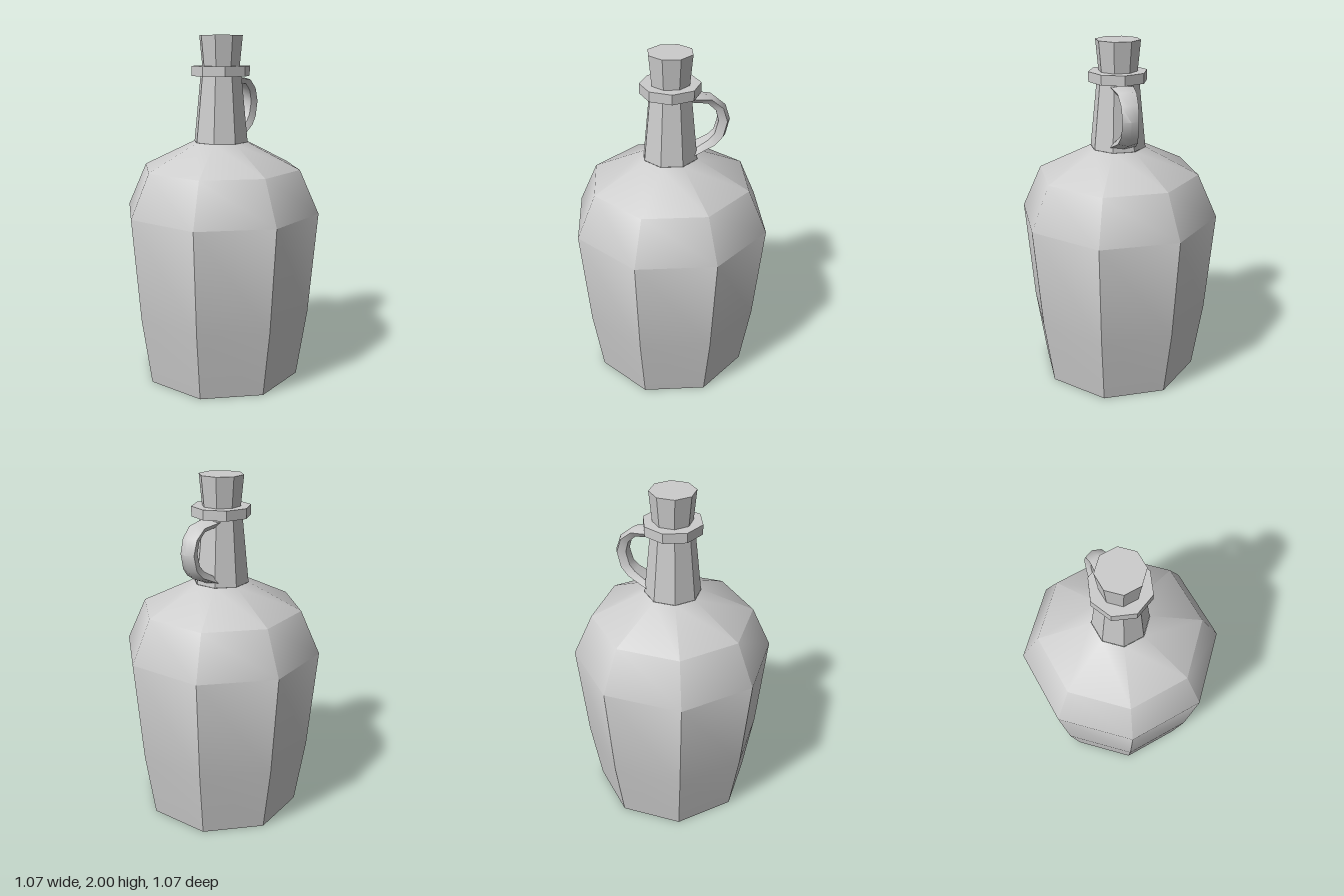
import * as THREE from 'three';
import { toCreasedNormals } from 'three/addons/utils/BufferGeometryUtils.js';

const CREASE = 0.742;
const FLAT = 1 / Math.cos(Math.PI / 8); // apothem to corner radius of an octagon

export function createModel() {
  const group = new THREE.Group();
  const grey = new THREE.MeshStandardMaterial({ color: 0xcccccc, side: THREE.DoubleSide });
  grey.name = 'plain grey';

  const add = (name, geometry, crease = CREASE) => {
    const mesh = new THREE.Mesh(toCreasedNormals(geometry, crease), grey);
    mesh.name = name;
    group.add(mesh);
  };

  // Eight-sided tapered shell; flat sides face the axes
  const octagon = (top, bottom, y0, y1, open) =>
    new THREE.CylinderGeometry(top * FLAT, bottom * FLAT, y1 - y0, 8, 1, open, Math.PI / 8)
      .translate(0, (y0 + y1) / 2, 0);

  // Body, open underneath
  const profile = [[0.435, 0], [0.49, 0.4], [0.535, 1], [0.43, 1.25], [0.148, 1.4]]
    .map(([a, y]) => new THREE.Vector2(a * FLAT, y));
  add('body', new THREE.LatheGeometry(profile, 8, Math.PI / 8));

  // Neck, lip and stopper
  add('neck', octagon(0.11, 0.147, 1.4, 1.79, true));
  add('lip', new THREE.CylinderGeometry(0.167, 0.167, 0.056, 8).translate(0, 1.802, 0));
  add('stopper', octagon(0.117, 0.1, 1.81, 2, false));

  // Handle: outer x, y, inner x, y, half width
  const sections = [
    [0.09, 1.77, 0.09, 1.735, 0.065],
    [0.23, 1.757, 0.2, 1.722, 0.052],
    [0.3, 1.7, 0.245, 1.68, 0.047],
    [0.328, 1.615, 0.262, 1.615, 0.045],
    [0.306, 1.52, 0.242, 1.54, 0.047],
    [0.257, 1.468, 0.21, 1.506, 0.055],
    [0.12, 1.41, 0.12, 1.452, 0.076],
  ];
  // Five-sided cross-section: share of depth from outer to inner, share of width
  const ring = [[0, 0], [0.28, 1], [1, 0.7], [1, -0.7], [0.28, -1]];
  const positions = [];
  const index = [];
  sections.forEach(([ox, oy, ix, iy, w], i) => {
    ring.forEach(([t, s], j) => {
      positions.push(ox + (ix - ox) * t, oy + (iy - oy) * t, w * s);
      if (i === sections.length - 1) return;
      const a = i * 5 + j, b = i * 5 + (j + 1) % 5;
      index.push(a, b, a + 5, b, b + 5, a + 5);
    });
  });
  const handle = new THREE.BufferGeometry();
  handle.setAttribute('position', new THREE.Float32BufferAttribute(positions, 3));
  handle.setIndex(index);
  add('handle', handle, 0.9);

  return group;
}
